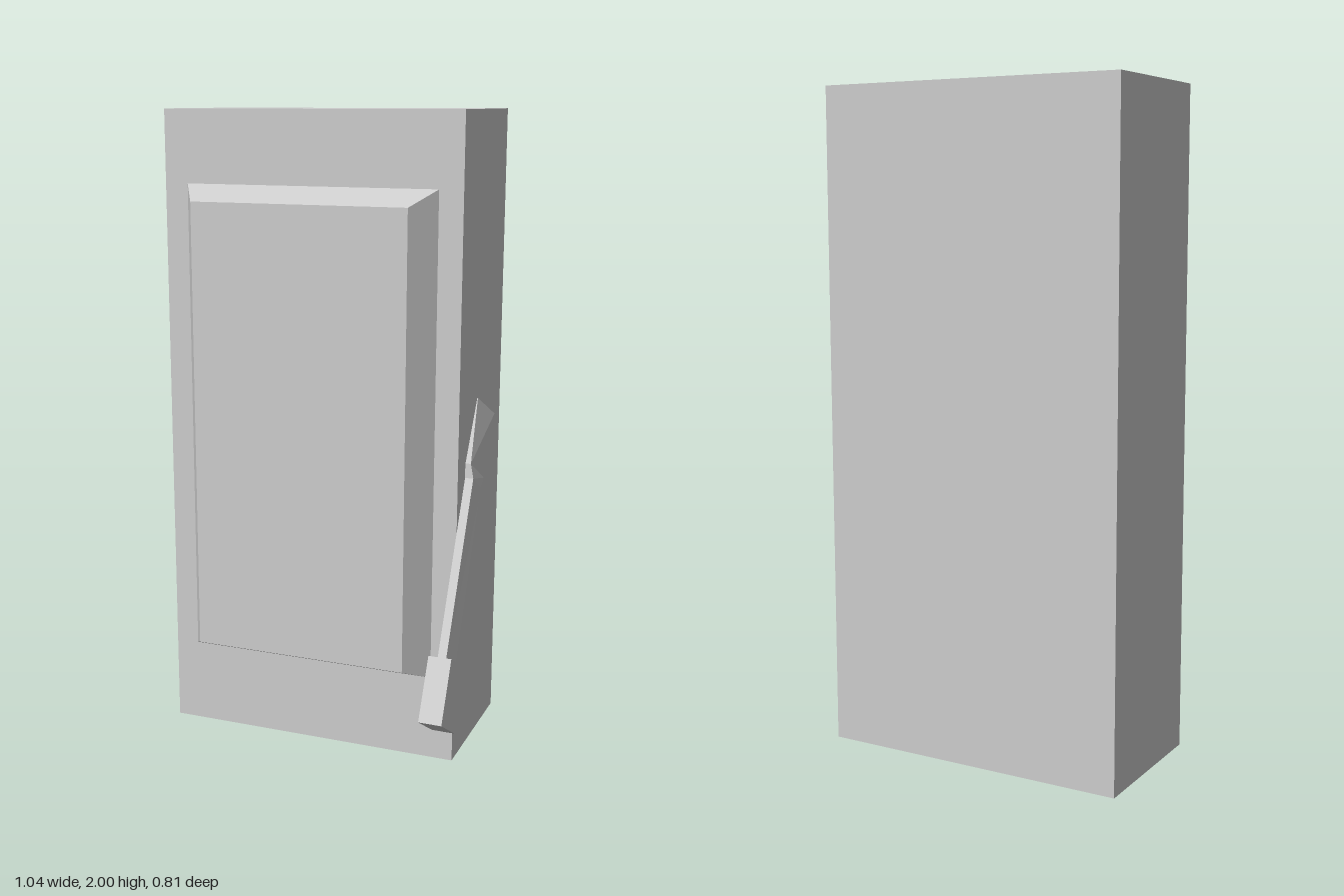
import * as THREE from 'three';

const material = new THREE.MeshStandardMaterial({ color: 0xcccccc, flatShading: true });

// Skins a row of four-cornered cross-sections and caps both ends.
function loft(name, rings) {
  const pos = [];
  const quad = (a, b, c, d) => [a, b, c, a, c, d].forEach((p) => pos.push(...p));
  for (let r = 0; r < rings.length - 1; r++) {
    for (let i = 0; i < 4; i++) {
      const j = (i + 1) % 4;
      quad(rings[r][i], rings[r][j], rings[r + 1][j], rings[r + 1][i]);
    }
  }
  quad(...[...rings[0]].reverse());
  quad(...rings[rings.length - 1]);
  const geo = new THREE.BufferGeometry();
  geo.setAttribute('position', new THREE.Float32BufferAttribute(pos, 3));
  geo.computeVertexNormals();
  const mesh = new THREE.Mesh(geo, material);
  mesh.name = name;
  return mesh;
}

// Upright rectangle facing +z.
const rect = (x0, x1, y0, y1, z) => [[x0, y0, z], [x1, y0, z], [x1, y1, z], [x0, y1, z]];

// Lever cross-section: s runs down the lever, w across it towards the front.
// Back and front edges each have their own inner and outer x.
function section(s, w, backIn, backOut, frontIn, frontOut) {
  const at = (x, k) => [x, 1.095 - 0.844 * s + 0.536 * k, -0.195 + 0.536 * s + 0.844 * k];
  return [at(backIn, -w), at(backOut, -w), at(frontOut, w), at(frontIn, w)];
}

export function createModel() {
  const group = new THREE.Group();
  group.name = 'leverCabinet';

  // Cabinet
  const body = new THREE.Mesh(new THREE.BoxGeometry(0.96, 2, 0.465), material);
  body.name = 'cabinet';
  body.position.set(-0.04, 1, -0.1775);
  group.add(body);

  // Raised front panel with sloping sides
  group.add(loft('frontPanel', [
    rect(-0.445, 0.365, 0.268, 1.775, 0.055),
    rect(-0.385, 0.305, 0.315, 1.728, 0.157),
  ]));

  // Side lever: broad mounting end, neck, slim shaft and block grip
  const lever = new THREE.Group();
  lever.name = 'lever';
  lever.add(loft('leverArm', [
    section(0, 0.065, 0.435, 0.467, 0.425, 0.442),
    section(0.215, 0.065, 0.44, 0.469, 0.435, 0.457),
    section(0.255, 0.045, 0.444, 0.471, 0.441, 0.467),
    section(0.83, 0.048, 0.463, 0.489, 0.457, 0.483),
  ]));
  lever.add(loft('leverGrip', [
    section(0.813, 0.066, 0.441, 0.511, 0.433, 0.503),
    section(1.008, 0.066, 0.446, 0.516, 0.438, 0.508),
  ]));
  group.add(lever);

  return group;
}
